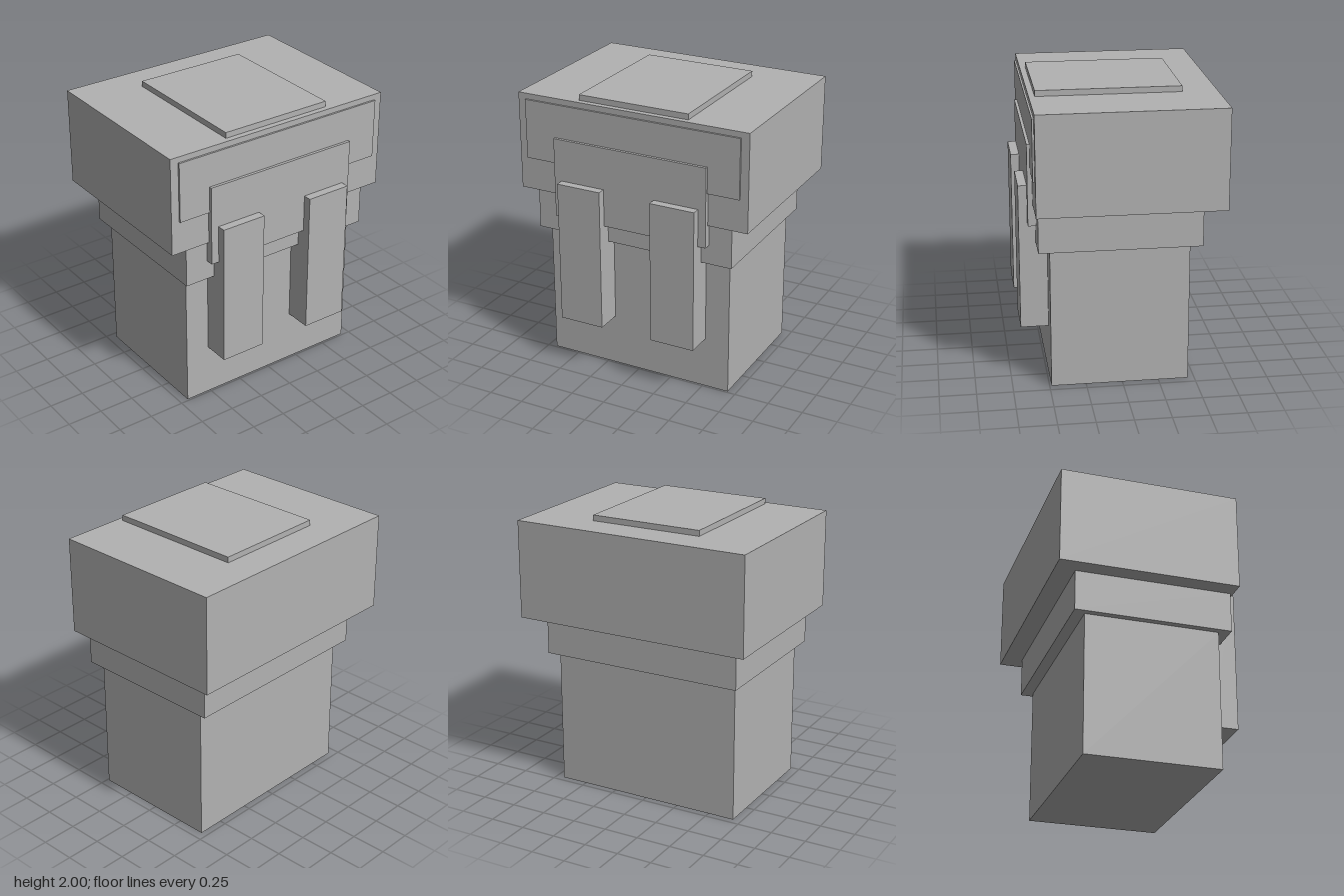
import * as THREE from 'three';

export function createModel() {
  const model = new THREE.Group();
  model.name = 'blockFigure';
  const grey = new THREE.MeshStandardMaterial({ color: 0xb2b2b2 });
  grey.name = 'grey';

  // Box given by its extents along each axis
  function block(name, [x0, x1], [y0, y1], [z0, z1]) {
    const mesh = new THREE.Mesh(new THREE.BoxGeometry(x1 - x0, y1 - y0, z1 - z0), grey);
    mesh.position.set((x0 + x1) / 2, (y0 + y1) / 2, (z0 + z1) / 2);
    mesh.name = name;
    model.add(mesh);
  }

  // Stacked main blocks
  block('body', [-0.69, 0.69], [0, 0.985], [-0.455, 0.487]);
  block('collar', [-0.735, 0.735], [0.985, 1.27], [-0.535, 0.565]);
  block('head', [-0.855, 0.855], [1.27, 1.96], [-0.675, 0.585]);
  block('topPlate', [-0.405, 0.405], [1.96, 2], [-0.435, 0.545]);

  // Layered panels on the front
  block('browPanel', [-0.797, 0.797], [1.5, 1.92], [0.58, 0.598]);
  block('facePanel', [-0.57, 0.57], [1.12, 1.685], [0.56, 0.618]);

  // Pair of hanging front bars
  block('leftBar', [0.19, 0.515], [0.37, 1.387], [0.48, 0.677]);
  block('rightBar', [-0.515, -0.19], [0.37, 1.387], [0.48, 0.677]);

  return model;
}
